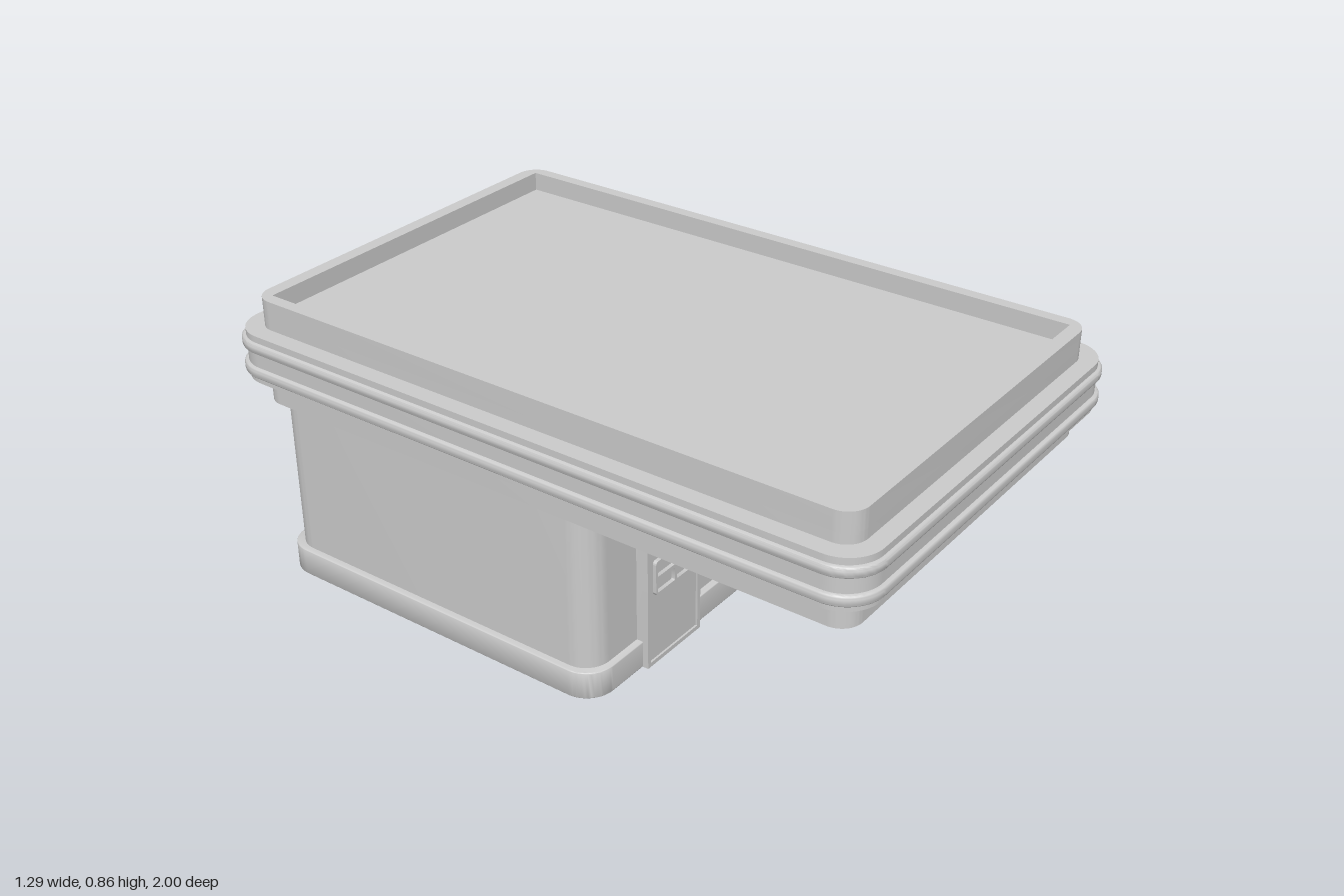
import * as THREE from 'three';
import { toCreasedNormals } from 'three/addons/utils/BufferGeometryUtils.js';

const material = new THREE.MeshStandardMaterial({ color: 0xcccccc });

// Rectangle outline with its own radius for the lower and upper corners
function outline(Type, x0, y0, x1, y1, rLow, rHigh = rLow) {
  const s = new Type();
  s.moveTo(x0 + rLow, y0);
  s.lineTo(x1 - rLow, y0);
  if (rLow) s.absarc(x1 - rLow, y0 + rLow, rLow, -Math.PI / 2, 0);
  s.lineTo(x1, y1 - rHigh);
  if (rHigh) s.absarc(x1 - rHigh, y1 - rHigh, rHigh, 0, Math.PI / 2);
  s.lineTo(x0 + rHigh, y1);
  if (rHigh) s.absarc(x0 + rHigh, y1 - rHigh, rHigh, Math.PI / 2, Math.PI);
  s.lineTo(x0, y0 + rLow);
  if (rLow) s.absarc(x0 + rLow, y0 + rLow, rLow, Math.PI, Math.PI * 1.5);
  return s;
}

// Extrude a shape from z0 to z1, with an optional rounded edge
function extrude(name, shape, z0, z1, bevel = 0, segments = 4) {
  const g = new THREE.ExtrudeGeometry(shape, {
    depth: z1 - z0 - 2 * bevel, curveSegments: 8,
    bevelEnabled: bevel > 0, bevelThickness: bevel, bevelSize: bevel,
    bevelOffset: -bevel, bevelSegments: segments,
  });
  g.translate(0, 0, z0 + bevel);
  const mesh = new THREE.Mesh(toCreasedNormals(g, 0.6), material);
  mesh.name = name;
  return mesh;
}

// Horizontal slab with rounded plan corners, centred on x
function slab(name, halfX, zBack, zFront, y0, y1, radius, bevel = 0, hole = null) {
  const shape = outline(THREE.Shape, -halfX, -zFront, halfX, -zBack, radius);
  if (hole) shape.holes.push(hole);
  const mesh = extrude(name, shape, y0, y1, bevel);
  mesh.rotation.x = -Math.PI / 2;
  return mesh;
}

// Four-pane window facing +z, centred on x, y
function makeWindow(name, x, y, w, h, zBase, zFace, border, bar) {
  const group = new THREE.Group();
  group.name = name;
  const hw = w / 2, hh = h / 2, r = border * 0.9;
  const frame = outline(THREE.Shape, x - hw, y - hh, x + hw, y + hh, r * 1.4);
  for (const sx of [-1, 1]) for (const sy of [-1, 1]) {
    const xs = [x + sx * bar / 2, x + sx * (hw - border)].sort((a, b) => a - b);
    const ys = [y + sy * bar / 2, y + sy * (hh - border)].sort((a, b) => a - b);
    frame.holes.push(outline(THREE.Path, xs[0], ys[0], xs[1], ys[1], r * 0.5));
  }
  group.add(extrude('windowFrame', frame, zBase, zFace));
  const pane = outline(THREE.Shape, x - hw + border / 2, y - hh + border / 2,
    x + hw - border / 2, y + hh - border / 2, 0);
  group.add(extrude('windowPanes', pane, zBase, zBase + (zFace - zBase) * 0.3));
  return group;
}

// Door facing +z: raised border around a slightly sunken leaf
function makeDoor(name, x0, x1, top, zBase, zFace, radius) {
  const group = new THREE.Group();
  group.name = name;
  const b = 0.013;
  const border = outline(THREE.Shape, x0, 0, x1, top, 0, radius);
  border.holes.push(outline(THREE.Path, x0 + b, b, x1 - b, top - b, 0, radius * 0.5));
  group.add(extrude('doorBorder', border, zBase, zFace));
  const leaf = outline(THREE.Shape, x0 + b / 2, b / 2, x1 - b / 2, top - b / 2, 0, radius * 0.7);
  group.add(extrude('doorLeaf', leaf, zBase, zFace - 0.006));
  return group;
}

export function createModel() {
  const model = new THREE.Group();
  model.name = 'building';

  // Walls and plinth
  model.add(slab('walls', 0.565, -0.91, 0.18, 0.02, 0.56, 0.075));
  model.add(slab('plinth', 0.585, -0.93, 0.2, 0, 0.082, 0.085, 0.004));

  // Overhanging roof: body, parapet rim, sunken deck and cornice
  model.add(slab('roofBody', 0.585, -0.94, 0.94, 0.545, 0.8, 0.06));
  const opening = outline(THREE.Path, -0.55, -0.9, 0.55, 0.9, 0);
  model.add(slab('parapet', 0.585, -0.94, 0.94, 0.8, 0.855, 0.06, 0, opening));
  model.add(slab('corniceBand', 0.635, -0.988, 0.988, 0.628, 0.77, 0.1));
  for (const y of [0.66, 0.735]) {
    model.add(slab('corniceMoulding', 0.646, -1, 1, y - 0.016, y + 0.016, 0.11, 0.01));
  }

  // Front entrance and window
  const front = new THREE.Group();
  front.name = 'frontFittings';
  front.add(makeDoor('frontDoor', -0.37, -0.132, 0.425, 0.17, 0.217, 0.03));
  front.add(makeWindow('frontDoorWindow', -0.252, 0.272, 0.176, 0.106, 0.2, 0.222, 0.008, 0.01));
  front.add(makeWindow('frontWindow', 0.202, 0.275, 0.355, 0.21, 0.17, 0.2, 0.013, 0.014));
  model.add(front);

  // Pair of windows on the left wall
  const side = new THREE.Group();
  side.name = 'sideWindows';
  side.rotation.y = Math.PI / 2;
  for (const x of [0.127, 0.597]) {
    side.add(makeWindow('sideWindow', x, 0.275, 0.355, 0.21, 0.555, 0.584, 0.013, 0.014));
  }
  model.add(side);

  // Wide rear door with surround and two small windows
  const rear = new THREE.Group();
  rear.name = 'rearFittings';
  rear.rotation.y = Math.PI;
  const surround = outline(THREE.Shape, -0.39, 0, 0.39, 0.465, 0, 0.06);
  rear.add(extrude('rearDoorSurround', surround, 0.9, 0.943));
  rear.add(makeDoor('rearDoor', -0.335, 0.335, 0.425, 0.93, 0.968, 0.03));
  for (const x of [-0.135, 0.135]) {
    rear.add(makeWindow('rearDoorWindow', x, 0.272, 0.18, 0.106, 0.955, 0.973, 0.008, 0.01));
  }
  model.add(rear);

  return model;
}
